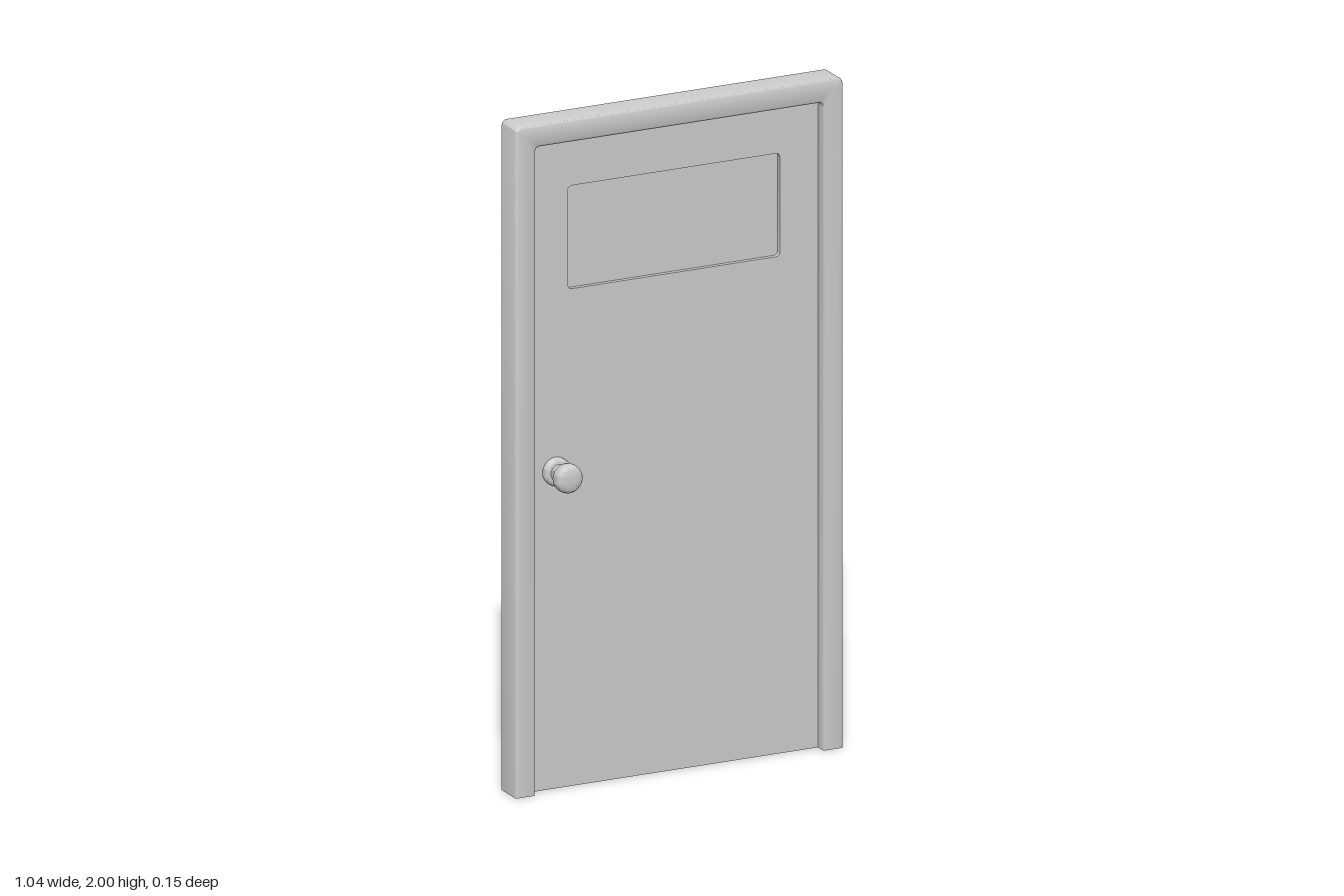
import * as THREE from 'three';
import { toCreasedNormals } from 'three/addons/utils/BufferGeometryUtils.js';

const material = new THREE.MeshStandardMaterial({ color: 0xcccccc, side: THREE.DoubleSide });
const DOOR_Z = -0.025;
const CENTRE_Y = 1.6375; // middle of the recessed panel

// Points of a rounded corner, counterclockwise from angle a0
function corner(cx, cy, r, a0, n = 6) {
  return Array.from({ length: n + 1 }, (_, i) => {
    const a = a0 + (i / n) * Math.PI / 2;
    return new THREE.Vector2(cx + r * Math.cos(a), cy + r * Math.sin(a));
  });
}

// Upside-down U, from the foot at +x over the top to the foot at -x
function arch(w, top, r) {
  return [
    new THREE.Vector2(w, 0),
    ...corner(w - r, top - r, r, 0),
    ...corner(r - w, top - r, r, Math.PI / 2),
    new THREE.Vector2(-w, 0),
  ];
}

// Closed rounded rectangle around the panel centre
function panelOutline(w, h, r) {
  const pts = [[1, 1], [-1, 1], [-1, -1], [1, -1]].flatMap(([sx, sy], i) =>
    corner(sx * (w - r), CENTRE_Y + sy * (h - r), r, i * Math.PI / 2));
  return [...pts, pts[0].clone()];
}

// Skin between successive outlines, each given as [points, z]
function loft(rings) {
  const n = rings[0][0].length, position = [], index = [];
  for (const [pts, z] of rings) for (const p of pts) position.push(p.x, p.y, z);
  for (let r = 0; r < rings.length - 1; r++) {
    for (let i = 0; i < n - 1; i++) {
      const a = r * n + i, b = a + n;
      index.push(a, a + 1, b, a + 1, b + 1, b);
    }
  }
  const g = new THREE.BufferGeometry();
  g.setAttribute('position', new THREE.Float32BufferAttribute(position, 3));
  g.setIndex(index);
  return toCreasedNormals(g, 0.9);
}

function add(group, name, geometry, z = 0) {
  const mesh = new THREE.Mesh(geometry, material);
  mesh.name = name;
  mesh.position.z = z;
  group.add(mesh);
  return mesh;
}

export function createModel() {
  const model = new THREE.Group();
  model.name = 'door';

  // Frame: outer wall, softened front edges, face and reveal; open at the back
  add(model, 'frame', loft([
    [arch(0.52, 2, 0.016), -0.08],
    [arch(0.52, 2, 0.016), 0.005],
    [arch(0.5185, 1.9985, 0.0155), 0.0085],
    [arch(0.515, 1.995, 0.014), 0.01],
    [arch(0.463, 1.939, 0.018), 0.01],
    [arch(0.4595, 1.9355, 0.0155), 0.0085],
    [arch(0.458, 1.934, 0.014), 0.005],
    [arch(0.458, 1.934, 0.014), DOOR_Z],
  ]));

  // Door leaf with an opening for the recessed panel
  const leaf = new THREE.Shape(arch(0.458, 1.934, 0.014));
  leaf.holes.push(new THREE.Path(panelOutline(0.337, 0.154, 0.012)));
  add(model, 'doorLeaf', new THREE.ShapeGeometry(leaf), DOOR_Z);

  // Recessed panel, standing proud at the back
  const edge = panelOutline(0.337, 0.154, 0.012);
  add(model, 'panelRim', loft([[edge, DOOR_Z], [edge, DOOR_Z - 0.014]]));
  add(model, 'panel', new THREE.ShapeGeometry(new THREE.Shape(edge)), DOOR_Z - 0.014);

  // Knob: rosette, stem and flattened round grip, as [radius, distance from leaf]
  const profile = [
    [0.042, 0], [0.042, 0.012], [0.039, 0.017], [0.034, 0.019], [0.025, 0.02],
    [0.025, 0.052], [0.031, 0.053], [0.037, 0.056], [0.041, 0.062], [0.043, 0.071],
    [0.043, 0.08], [0.041, 0.088], [0.037, 0.094], [0.03, 0.097], [0.015, 0.099], [0, 0.0995],
  ].map(([r, y]) => new THREE.Vector2(r, y));
  const knob = add(model, 'knob', toCreasedNormals(new THREE.LatheGeometry(profile, 32), 0.9), DOOR_Z);
  knob.rotation.x = Math.PI / 2;
  knob.position.x = -0.376;
  knob.position.y = 0.947;

  return model;
}
